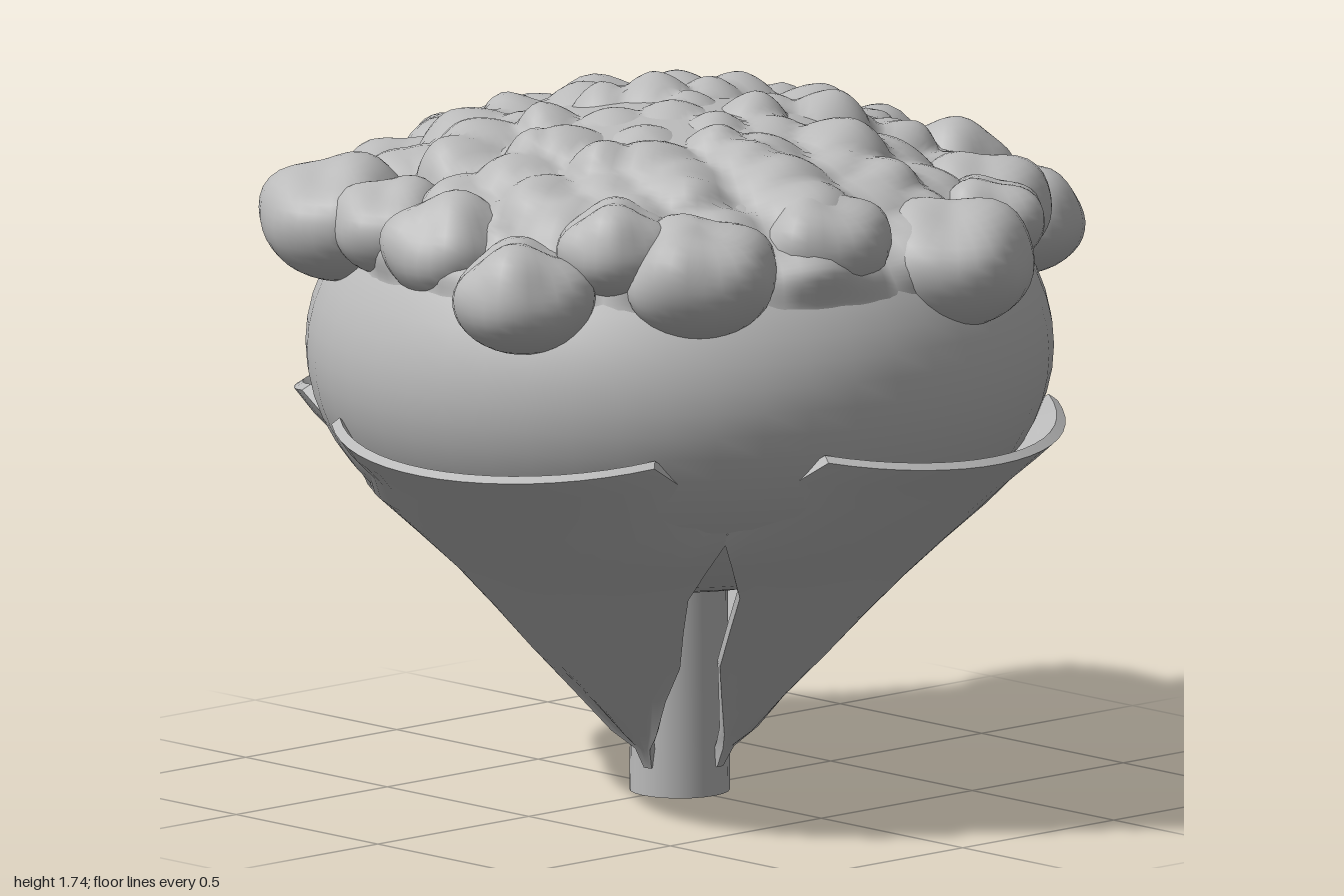
import * as THREE from 'three';
import { mergeVertices, toCreasedNormals } from 'three/addons/utils/BufferGeometryUtils.js';

const curdGrey = new THREE.MeshStandardMaterial({ color: 0xbababa });
curdGrey.name = 'plain grey';

function rng(seed) {
  return () => (seed = (seed * 16807) % 2147483647) / 2147483647;
}

function add(group, name, geometry) {
  const mesh = new THREE.Mesh(geometry, curdGrey);
  mesh.name = name;
  group.add(mesh);
  return mesh;
}

// Weld the seam, move every vertex by a rule and smooth the normals
function reshape(geometry, rule) {
  geometry.deleteAttribute('uv');
  geometry.deleteAttribute('normal');
  const g = mergeVertices(geometry, 1e-4);
  const p = g.attributes.position, v = new THREE.Vector3();
  for (let i = 0; i < p.count; i++) {
    v.fromBufferAttribute(p, i);
    rule(v);
    p.setXYZ(i, v.x, v.y, v.z);
  }
  g.computeVertexNormals();
  return g;
}

// Centres of the small knobs, spread in a spiral over the dome
function knobCentres() {
  const rand = rng(77), list = [], n = 110;
  for (let i = 0; i < n; i++) {
    const r = 0.86 * Math.sqrt((i + 0.5) / n) + (rand() - 0.5) * 0.05;
    const a = i * 2.39996 + (rand() - 0.5) * 0.4;
    list.push({ x: r * Math.cos(a), z: r * Math.sin(a), size: 0.1 + rand() * 0.06, h: 0.05 + rand() * 0.05 });
  }
  return list;
}

// Bumpy crown: a flattened dome with full shoulders, raised by soft knobs
function crownGeometry() {
  const knobs = knobCentres();
  const cap = new THREE.SphereGeometry(1, 128, 60, 0, Math.PI * 2, 0, 1.3);
  return reshape(cap, (v) => {
    const dir = v.clone();
    const x = v.x * 0.87, z = v.z * 0.87;
    let lift = 0;
    for (const k of knobs) {
      const d = Math.hypot(x - k.x, z - k.z) / k.size;
      if (d < 1) lift = Math.max(lift, k.h * (1 - d ** 1.6));
    }
    lift *= THREE.MathUtils.smoothstep(v.y, 0.29, 0.45);
    v.set(x, 1.1 + 0.55 * v.y ** 0.75, z).addScaledVector(dir, lift);
  });
}

// Large rim floret: a squashed ball, smooth below and uneven on top
function floretGeometry(size, seed) {
  return reshape(new THREE.SphereGeometry(1, 28, 20), (v) => {
    const wave = Math.sin(v.x * 4 + seed) * Math.sin(v.z * 4 + seed * 2);
    const k = 1 + wave * 0.14 * THREE.MathUtils.smoothstep(v.y, -0.5, 0.6);
    v.set(v.x * size * k, v.y * size * 0.78 * k, v.z * size * k);
  });
}

// Leaf: closed loops from base to rim; degrees give the left and right edges
function leafGeometry() {
  // [radius, height, left edge, right edge, inward curl of the edges]
  const rows = [
    [0.125, 0.07, 3, 14, 0], [0.15, 0.12, 1, 18, 0], [0.2, 0.165, -10, 30, 0.03],
    [0.3, 0.27, -22, 40, 0.07], [0.4, 0.37, -28, 47, 0.08], [0.5, 0.475, -28, 48, 0.08],
    [0.6, 0.575, -28, 49, 0.08], [0.7, 0.67, -32, 53, 0.07], [0.8, 0.76, -35, 56, 0.065],
    [0.88, 0.83, -31, 53, 0.12], [0.95, 0.885, -24, 47, 0.1], [1.0, 0.925, -20, 43, 0.085],
  ];
  const n = 18, ring = 2 * (n + 1), pos = [], idx = [];
  rows.forEach(([r, y, a0, a1, curl], j) => {
    for (let k = 0; k < ring; k++) {
      const inner = k > n;
      const u = inner ? (ring - 1 - k) / n : k / n;
      const s = u * 2 - 1;
      const a = THREE.MathUtils.degToRad(THREE.MathUtils.lerp(a0, a1, u));
      const rib = j > 1 && j < 10 ? 0.012 * Math.cos(s * 5) : 0;
      const rr = r * (1 - curl * s * s) + rib - (inner ? 0.022 : 0);
      const yy = y + (j > 8 ? 0.045 * s * s * (j - 8) / 3 : 0) + (inner ? 0.015 : 0);
      pos.push(rr * Math.sin(a), yy, rr * Math.cos(a));
    }
  });
  for (let j = 0; j < rows.length - 1; j++) {
    for (let k = 0; k < ring; k++) {
      const k2 = (k + 1) % ring;
      const a = j * ring + k, b = j * ring + k2, c = b + ring, d = a + ring;
      idx.push(a, b, c, a, c, d);
    }
  }
  // Close the rim and the base
  const top = (rows.length - 1) * ring;
  for (let k = 0; k < n; k++) {
    const o = k, o2 = k + 1, i = ring - 1 - k, i2 = ring - 2 - k;
    idx.push(top + o, top + o2, top + i2, top + o, top + i2, top + i);
    idx.push(o, i2, o2, o, i, i2);
  }
  const g = new THREE.BufferGeometry();
  g.setAttribute('position', new THREE.Float32BufferAttribute(pos, 3));
  g.setIndex(idx);
  return toCreasedNormals(g, 0.9);
}

export function createModel() {
  const model = new THREE.Group();
  model.name = 'cauliflower';

  // Stalk
  const stalk = new THREE.CylinderGeometry(0.115, 0.122, 0.6, 24);
  stalk.translate(0, 0.3, 0);
  add(model, 'stalk', stalk);

  // Smooth head under the crown
  const head = add(model, 'head', new THREE.SphereGeometry(1, 48, 32));
  head.scale.set(0.905, 0.59, 0.905);
  head.position.set(0, 1.1, 0);

  add(model, 'crown', crownGeometry());

  // Rim florets: [x, y, z, size]
  const florets = new THREE.Group();
  florets.name = 'rimFlorets';
  [
    [0.19, 1.38, 0.76, 0.2], [-0.5, 1.41, 0.6, 0.185], [-0.79, 1.36, 0.29, 0.175],
    [-0.7, 1.42, -0.05, 0.17], [-0.69, 1.43, -0.46, 0.19], [-0.38, 1.44, -0.55, 0.17],
    [-0.03, 1.42, -0.73, 0.18], [0.42, 1.43, -0.7, 0.2], [0.52, 1.46, -0.42, 0.17],
    [0.74, 1.41, -0.13, 0.18], [0.78, 1.35, 0.36, 0.17], [0.53, 1.43, 0.5, 0.17],
    [-0.15, 1.45, 0.65, 0.17], [-0.6, 1.47, 0.42, 0.15], [0.76, 1.44, 0.14, 0.16],
    [-0.7, 1.44, -0.26, 0.15], [0.2, 1.45, -0.68, 0.14], [0.4, 1.44, 0.66, 0.14],
  ].forEach(([x, y, z, size], i) => {
    add(florets, 'floret', floretGeometry(size, i * 1.7)).position.set(x, y, z);
  });
  model.add(florets);

  // Four leaves around the stalk
  const leaf = leafGeometry();
  for (let i = 0; i < 4; i++) add(model, 'leaf', leaf).rotation.y = i * Math.PI / 2;

  return model;
}
